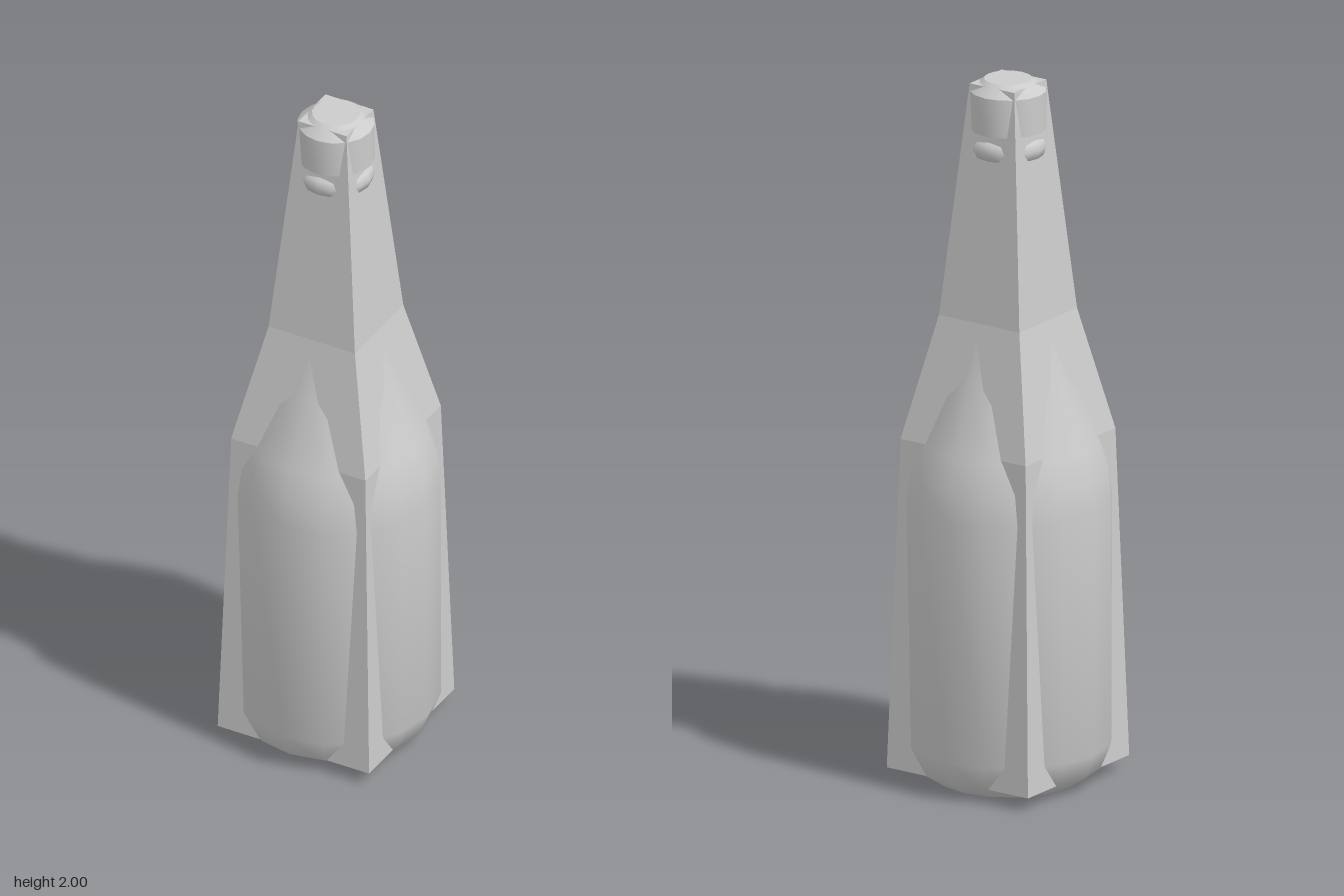
import * as THREE from 'three';
import { toCreasedNormals } from 'three/addons/utils/BufferGeometryUtils.js';

const material = new THREE.MeshStandardMaterial({ color: 0xcccccc });

// Revolves a [radius, height] profile; edges sharper than crease stay hard
function turned(name, profile, sides, crease, phiStart = 0) {
  const points = profile.map(([r, y]) => new THREE.Vector2(r, y));
  const geometry = new THREE.LatheGeometry(points, sides, phiStart);
  const mesh = new THREE.Mesh(toCreasedNormals(geometry, crease), material);
  mesh.name = name;
  return mesh;
}

export function createModel() {
  const group = new THREE.Group();
  group.name = 'bottle';

  // Round bottle: base, body, shoulder and neck
  group.add(turned('roundBody', [
    [0, 0], [0.2, 0], [0.26, 0.04], [0.288, 0.11], [0.288, 0.8],
    [0.28, 0.89], [0.254, 0.97], [0.18, 1.157], [0.14, 1.3],
    [0.11, 1.45], [0.085, 1.78], [0.085, 1.88],
  ], 16, 0.75));

  // Rounded ring under the cap
  group.add(turned('neckRing', [
    [0.085, 1.78], [0.1, 1.787], [0.107, 1.81], [0.1, 1.83], [0.085, 1.84],
  ], 16, 1.2));

  // Cap with a bevelled top
  group.add(turned('cap', [
    [0, 1.86], [0.107, 1.86], [0.106, 1.968], [0.066, 2], [0, 2],
  ], 16, 0.6));

  // Square tapered shell crossing the round bottle, given as half widths
  const shell = [
    [0, 0.04], [0.237, 0.04], [0.21, 0.98], [0.135, 1.33], [0.075, 1.99], [0, 1.99],
  ].map(([half, y]) => [half * Math.SQRT2, y]);
  group.add(turned('squareShell', shell, 4, 0.01, Math.PI / 4));

  return group;
}
